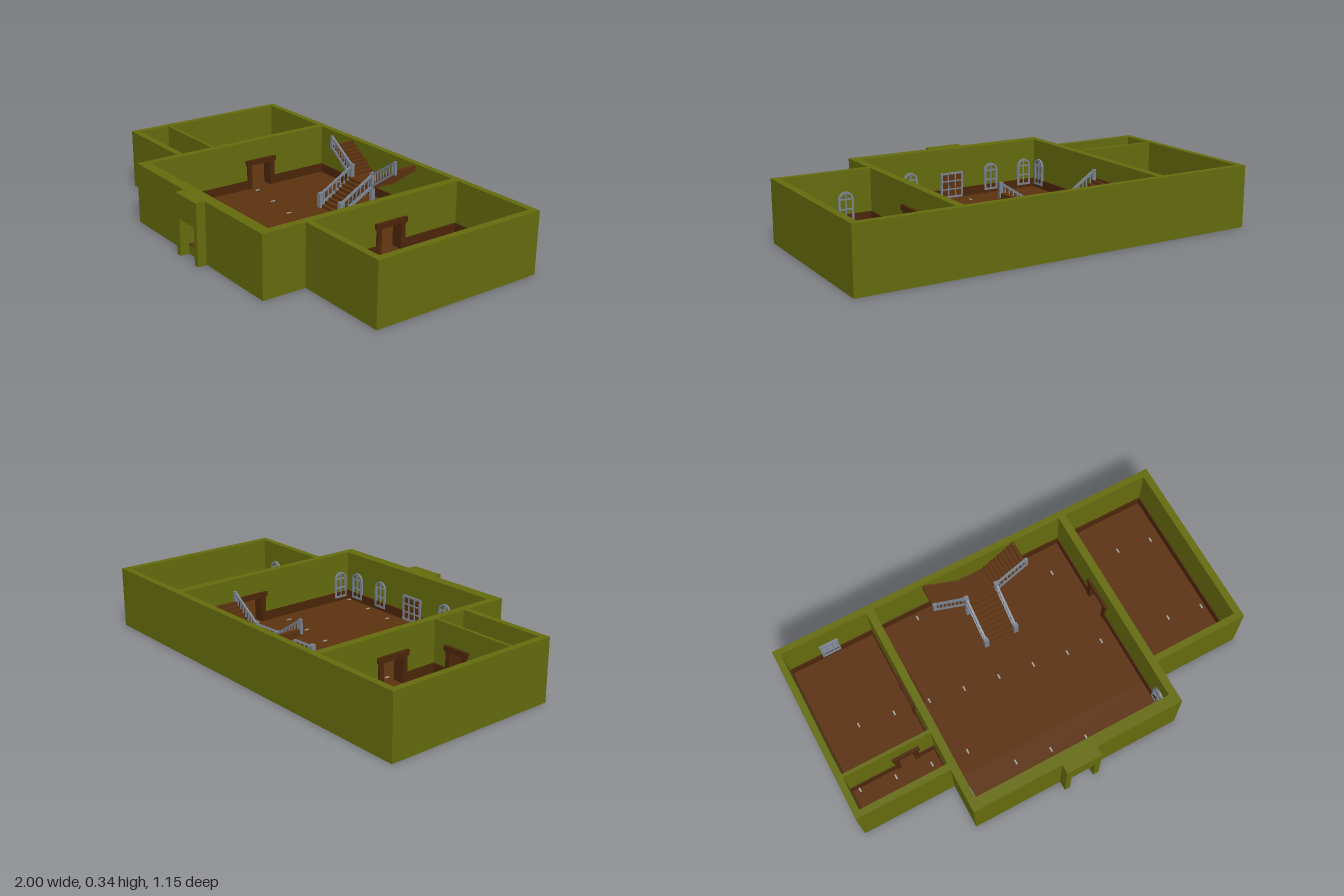
import * as THREE from 'three';

const mat = (name, color) => {
  const m = new THREE.MeshStandardMaterial({ color });
  m.name = name;
  return m;
};

export function createModel() {
  const root = new THREE.Group();
  root.name = 'house';
  const olive = mat('olive wall', 0x656c0d);
  const floorWood = mat('floor wood', 0x5c3210);
  const trimWood = mat('trim wood', 0x4c260a);
  const grey = mat('grey metal', 0x7c8490);
  const pale = mat('pale peg', 0xa0a09c);

  const sub = (name, parent = root) => {
    const g = new THREE.Group();
    g.name = name;
    parent.add(g);
    return g;
  };
  // box from its minimum and maximum on each axis
  const box = (name, m, x0, x1, y0, y1, z0, z1, parent = root) => {
    const mesh = new THREE.Mesh(new THREE.BoxGeometry(x1 - x0, y1 - y0, z1 - z0), m);
    mesh.position.set((x0 + x1) / 2, (y0 + y1) / 2, (z0 + z1) / 2);
    mesh.name = name;
    parent.add(mesh);
    return mesh;
  };
  // square bar between two points
  const bar = (name, a, b, t, parent) => {
    const p = new THREE.Vector3(...a), q = new THREE.Vector3(...b);
    const mesh = new THREE.Mesh(new THREE.BoxGeometry(t, t, p.distanceTo(q)), grey);
    mesh.position.copy(p).add(q).multiplyScalar(0.5);
    mesh.lookAt(q);
    mesh.name = name;
    parent.add(mesh);
  };

  const H = 0.3, F = 0.05, D = 0.18; // wall top, floor level, door head
  const DZ = [-0.21, -0.09], DX = [-0.715, -0.635];

  // outer walls
  const walls = sub('walls');
  const wall = (name, x0, x1, z0, z1, y0 = 0, y1 = H) => box(name, olive, x0, x1, y0, y1, z0, z1, walls);
  wall('backWall', -1, 1, -0.575, -0.543);
  wall('rightSideWall', -1, -0.968, -0.543, 0.28);
  wall('leftSideWall', 0.965, 1, -0.543, 0.28);
  wall('rightFrontWall', -1, -0.535, 0.28, 0.312);
  wall('leftFrontWall', 0.53, 1, 0.28, 0.312);

  // walls beside the hall, with doorways
  for (const [x0, x1] of [[-0.535, -0.498], [0.492, 0.53]]) {
    wall('hallSideWall', x0, x1, -0.543, DZ[0]);
    wall('hallSideWall', x0, x1, DZ[1], 0.475);
    wall('hallDoorHead', x0, x1, DZ[0], DZ[1], D);
  }
  // partition between the two right rooms
  wall('partition', -0.968, DX[0], 0.1, 0.116);
  wall('partition', DX[1], -0.535, 0.1, 0.116);
  wall('partitionDoorHead', DX[0], DX[1], 0.1, 0.116, D);

  // hall front with entrance and porch
  wall('hallFront', -0.535, -0.065, 0.475, 0.53);
  wall('hallFront', 0.06, 0.53, 0.475, 0.53);
  wall('hallFrontHead', -0.065, 0.06, 0.475, 0.53, D);
  wall('hallFrontBase', -0.065, 0.06, 0.475, 0.53, 0, F - 0.004);
  wall('porchPillar', -0.092, -0.065, 0.53, 0.575);
  wall('porchPillar', 0.06, 0.087, 0.53, 0.575);
  wall('porchHead', -0.065, 0.06, 0.53, 0.575, D);
  box('doorSill', floorWood, -0.065, 0.06, F - 0.004, F, 0.475, 0.53);

  // floor
  box('floor', floorWood, -0.99, 0.99, F - 0.006, F, -0.565, 0.3);
  box('hallFloor', floorWood, -0.52, 0.515, F - 0.006, F, 0.3, 0.48);

  // wooden skirting, interrupted at doorways
  const skirting = sub('skirting');
  const strip = (x0, x1, z0, z1) => {
    box('skirtingBoard', trimWood, x0, x1, F, F + 0.045, z0, z1, skirting);
  };
  const alongX = (x0, x1, z, s, gap) => {
    for (const [a, b] of gap ? [[x0, gap[0] - 0.02], [gap[1] + 0.02, x1]] : [[x0, x1]])
      strip(a, b, Math.min(z, z + s * 0.006), Math.max(z, z + s * 0.006));
  };
  const alongZ = (z0, z1, x, s, gap) => {
    for (const [a, b] of gap ? [[z0, gap[0] - 0.02], [gap[1] + 0.02, z1]] : [[z0, z1]])
      strip(Math.min(x, x + s * 0.006), Math.max(x, x + s * 0.006), a, b);
  };
  const room = (x0, x1, z0, z1, gaps) => {
    alongX(x0, x1, z0, 1, gaps.back);
    alongX(x0, x1, z1, -1, gaps.front);
    alongZ(z0, z1, x0, 1, gaps.low);
    alongZ(z0, z1, x1, -1, gaps.high);
  };
  room(-0.498, 0.492, -0.543, 0.475, { front: [-0.05, 0.045], low: DZ, high: DZ });
  room(0.53, 0.965, -0.543, 0.28, { low: DZ });
  room(-0.968, -0.535, -0.543, 0.1, { front: DX, high: DZ });
  room(-0.968, -0.535, 0.116, 0.28, { back: DX });

  // wooden door surrounds
  const surround = (name, w, depth, x, z, turn) => {
    const g = sub(name);
    for (const s of [-1, 1]) {
      const c = s * (w / 2 + 0.008);
      box('jamb', trimWood, c - 0.012, c + 0.012, F, D, -depth / 2, depth / 2, g);
    }
    box('lintel', trimWood, -w / 2 - 0.028, w / 2 + 0.028, D - 0.004, D + 0.022, -depth / 2 - 0.004, depth / 2 + 0.004, g);
    g.position.set(x, 0, z);
    g.rotation.y = turn;
  };
  surround('rightHallDoorway', 0.12, 0.058, -0.5165, -0.15, Math.PI / 2);
  surround('leftHallDoorway', 0.12, 0.058, 0.511, -0.15, Math.PI / 2);
  surround('partitionDoorway', 0.08, 0.036, -0.675, 0.108, 0);

  // arched window frames on the inner wall faces
  const arch = (path, w, y0, y1) => {
    path.moveTo(-w, y0);
    path.lineTo(w, y0);
    path.lineTo(w, y1);
    path.absarc(0, y1, w, 0, Math.PI, false);
    path.lineTo(-w, y0);
    return path;
  };
  const archShape = arch(new THREE.Shape(), 0.038, 0, 0.1);
  archShape.holes.push(arch(new THREE.Path(), 0.028, 0.01, 0.1));
  const archGeo = new THREE.ExtrudeGeometry(archShape, { depth: 0.01, bevelEnabled: false, curveSegments: 10 });
  const archWindow = (x, z, turn) => {
    const g = sub('archedWindow');
    const frame = new THREE.Mesh(archGeo, grey);
    frame.name = 'windowFrame';
    g.add(frame);
    box('mullion', grey, -0.003, 0.003, 0.005, 0.13, 0, 0.008, g);
    for (const y of [0.05, 0.098]) box('glazingBar', grey, -0.03, 0.03, y, y + 0.006, 0, 0.008, g);
    g.position.set(x, 0.066, z);
    g.rotation.y = turn;
  };
  for (const x of [-0.43, -0.23, 0.23, 0.41]) archWindow(x, 0.475, Math.PI);
  for (const x of [-0.87, -0.67, 0.66, 0.86]) archWindow(x, 0.28, Math.PI);
  archWindow(-0.498, 0.42, Math.PI / 2);
  archWindow(0.492, 0.42, -Math.PI / 2);

  // rectangular lattice, used by the entrance and the back window
  const lattice = (name, x0, x1, y0, y1, z0, z1) => {
    const g = sub(name), t = 0.009;
    for (let i = 0; i < 4; i++) {
      const k = i % 3 ? 0.005 : t;
      const x = x0 + (x1 - x0 - k) * i / 3, y = y0 + (y1 - y0 - k) * i / 3;
      box('upright', grey, x, x + k, y0, y1, z0, z1, g);
      box('crossbar', grey, x0, x1, y, y + k, z0, z1, g);
    }
  };
  lattice('entranceLattice', -0.065, 0.06, F, D, 0.466, 0.484);
  box('entrancePanel', floorWood, -0.063, 0.058, F, D, 0.472, 0.478);
  lattice('backWindow', -0.8, -0.705, 0.08, 0.19, -0.543, -0.529);

  // staircase: one flight up to a landing, then two flights apart
  const stairs = sub('staircase');
  const L = 0.17, n = 9, rise = (L - F) / n;
  for (let i = 0; i < n; i++) {
    const z = -0.225 - 0.19 * i / n, y = F + rise * (i + 1);
    box('step', floorWood, -0.08, 0.075, y - 0.024, y, z - 0.19 / n, z, stairs);
  }
  box('landing', floorWood, -0.08, 0.075, L - 0.02, L, -0.543, -0.415, stairs);
  for (const s of [-1, 1]) {
    for (let i = 0; i < n; i++) {
      const a = s * (0.075 + 0.17 * i / n), b = s * (0.075 + 0.17 * (i + 1) / n);
      const y = L + rise * (i + 1);
      box('upperStep', floorWood, Math.min(a, b), Math.max(a, b), y - 0.026, y, -0.543, -0.415, stairs);
    }
    // railings
    const x = s * 0.08, zb = -0.415, zf = -0.222, e = s * 0.242;
    box('footPost', grey, x - 0.011, x + 0.011, F, 0.125, zf - 0.011, zf + 0.011, stairs);
    box('landingPost', grey, x - 0.01, x + 0.01, F, 0.235, zb - 0.01, zb + 0.01, stairs);
    box('topPost', grey, e - 0.008, e + 0.008, 0.27, 0.337, zb - 0.006, zb + 0.006, stairs);
    bar('handrail', [x, 0.115, zf], [x, 0.225, zb], 0.01, stairs);
    bar('stringer', [x, 0.06, zf], [x, 0.165, zb], 0.012, stairs);
    bar('handrail', [x, 0.225, zb], [e, 0.332, zb], 0.01, stairs);
    bar('stringer', [x, 0.165, zb], [e, 0.28, zb], 0.012, stairs);
    for (let i = 1; i < 8; i++) {
      const t = i / 8, z = zf + (zb - zf) * t, y = F + 0.11 * t, u = x + (e - x) * t, v = 0.165 + 0.11 * t;
      bar('baluster', [x, y, z], [x, y + 0.065, z], 0.005, stairs);
      bar('baluster', [u, v, zb], [u, v + 0.058, zb], 0.005, stairs);
    }
  }

  // small pegs in slanting rows across the floor boards
  const pegs = sub('floorPegs');
  const rows = [[-0.8, -0.153, 11], [-0.93, 0.13, 4], [-0.235, 0.36, 5], [0.385, -0.405, 4], [-0.31, -0.508, 1]];
  for (const [x, z, count] of rows)
    for (let i = 0; i < count; i++) {
      const px = x + 0.174 * i, pz = z + 0.0255 * i;
      box('peg', pale, px - 0.004, px + 0.004, F, F + 0.003, pz - 0.012, pz + 0.012, pegs);
    }
  return root;
}
